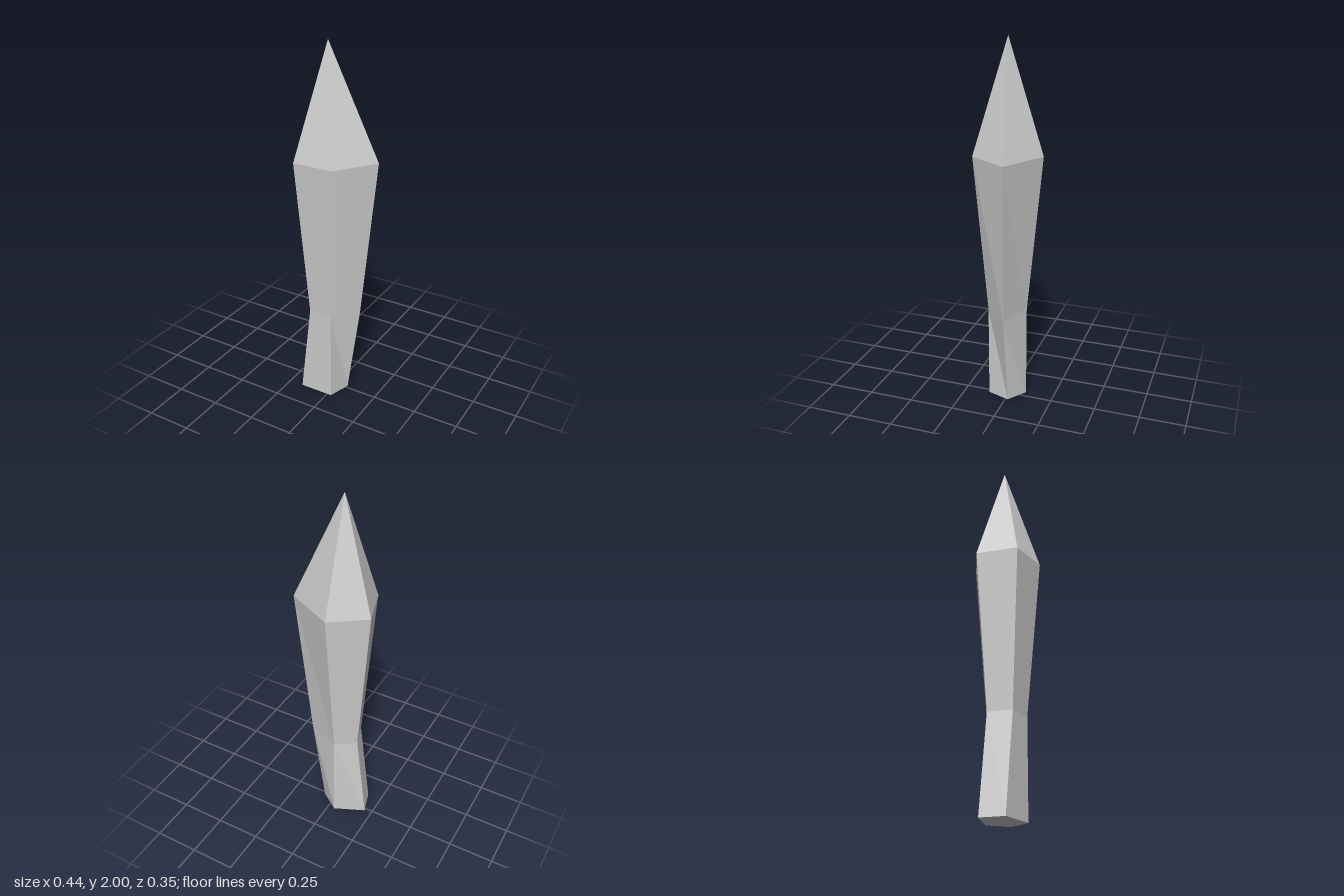
import * as THREE from 'three';

// Five corners per ring [x, z]: back, left side, front left, front right, right side
const rings = [
  { y: 0, corners: [[-0.04, -0.09], [0.065, -0.015], [0.026, 0.11], [-0.167, 0.11], [-0.207, -0.015]] },
  { y: 0.525, corners: [[-0.04, -0.09], [0.14, -0.015], [0.027, 0.11], [-0.105, 0.11], [-0.147, -0.015]] },
  { y: 1.4, corners: [[-0.038, -0.175], [0.22, -0.042], [0.075, 0.173], [-0.151, 0.173], [-0.221, -0.042]] },
];
const tip = [-0.038, 2, 0.017];
const SIDES = 5;

function facetedMesh(name, triangles) {
  const geometry = new THREE.BufferGeometry();
  geometry.setAttribute('position', new THREE.Float32BufferAttribute(triangles.flat(2), 3));
  geometry.computeVertexNormals();
  const mesh = new THREE.Mesh(geometry, new THREE.MeshStandardMaterial({ color: 0xcccccc, flatShading: true }));
  mesh.name = name;
  return mesh;
}

const corner = (ring, i) => {
  const [x, z] = ring.corners[i % SIDES];
  return [x, ring.y, z];
};

// Band of flat facets joining two rings
function band(lower, upper) {
  const triangles = [];
  for (let i = 0; i < SIDES; i++) {
    const a = corner(lower, i), b = corner(lower, i + 1);
    const c = corner(upper, i + 1), d = corner(upper, i);
    triangles.push([a, d, c], [a, c, b]);
  }
  return triangles;
}

export function createModel() {
  const group = new THREE.Group();
  group.name = 'crystalShard';
  const [base, waist, shoulder] = rings;

  // Leaning foot with a closed underside
  const foot = band(base, waist);
  for (let i = 1; i < SIDES - 1; i++) foot.push([corner(base, 0), corner(base, i), corner(base, i + 1)]);
  group.add(facetedMesh('foot', foot));

  // Shaft widening towards the shoulder
  group.add(facetedMesh('shaft', band(waist, shoulder)));

  // Pointed top
  const point = [];
  for (let i = 0; i < SIDES; i++) point.push([corner(shoulder, i), tip, corner(shoulder, i + 1)]);
  group.add(facetedMesh('point', point));

  return group;
}
